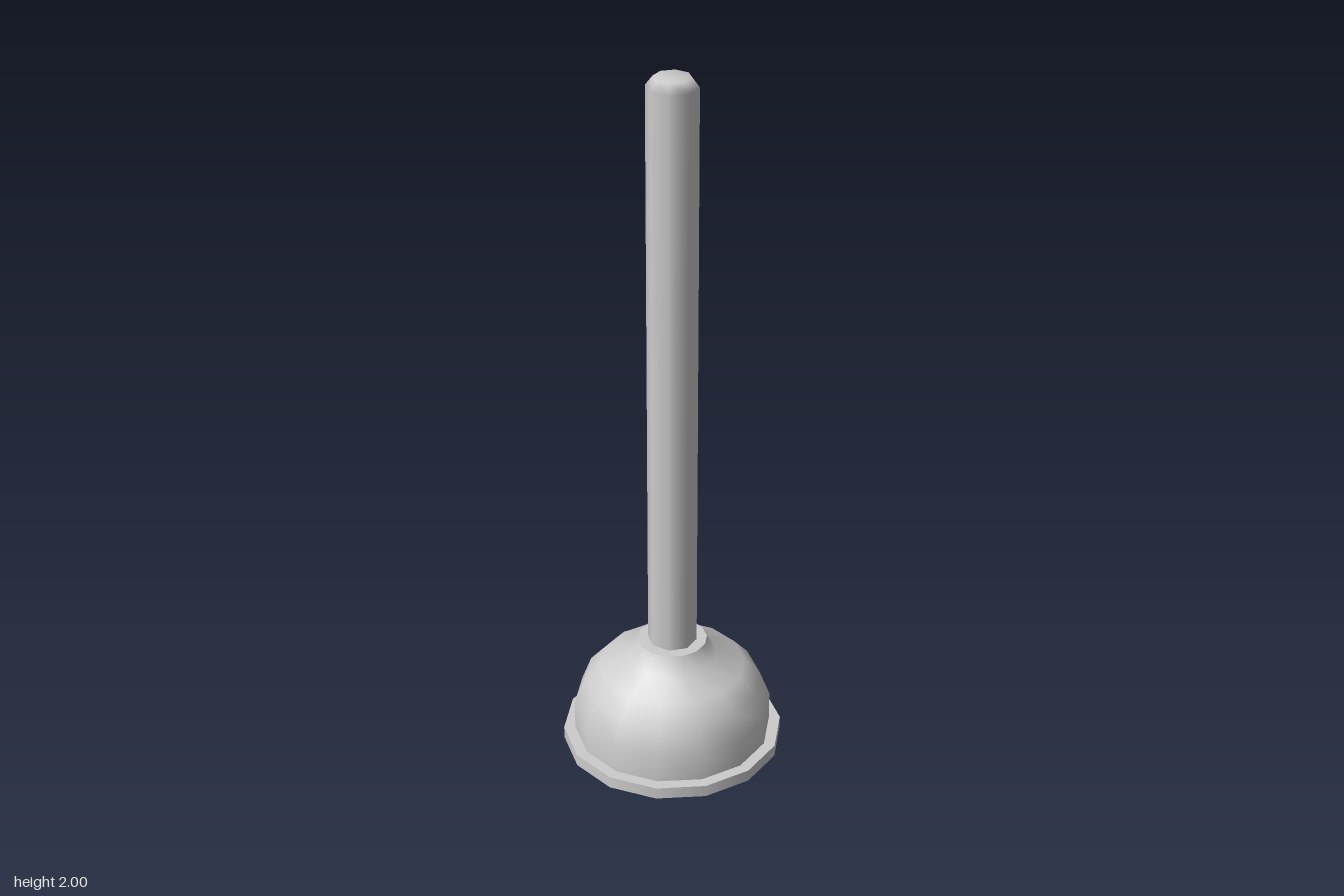
import * as THREE from 'three';

export function createModel() {
  const model = new THREE.Group();
  const grey = new THREE.MeshStandardMaterial({ color: 0xcccccc });
  grey.name = 'light grey';

  // Each profile is smooth in itself; separate profiles meet at sharp edges.
  function turned(name, sides, profiles) {
    const part = new THREE.Group();
    part.name = name;
    for (const [label, points] of Object.entries(profiles)) {
      const geometry = new THREE.LatheGeometry(points.map(([r, y]) => new THREE.Vector2(r, y)), sides);
      const mesh = new THREE.Mesh(geometry, grey);
      mesh.name = label;
      part.add(mesh);
    }
    model.add(part);
  }

  // Rubber cup, hollow from below
  turned('cup', 14, {
    cupCeiling: [[0, 0.11], [0.248, 0.11]],
    cupInnerWall: [[0.248, 0.11], [0.248, 0]],
    rimUnderside: [[0.248, 0], [0.311, 0]],
    rimSide: [[0.311, 0], [0.311, 0.035]],
    rimTop: [[0.311, 0.035], [0.279, 0.035]],
    dome: [[0.279, 0.035], [0.279, 0.12], [0.25, 0.195], [0.205, 0.245], [0.124, 0.28], [0.098, 0.33]],
    collarTop: [[0.098, 0.33], [0.05, 0.33]],
  });

  // Eight-sided handle with a rounded end
  turned('handle', 8, {
    shaft: [[0.069, 0.28], [0.069, 1.975], [0.05, 2], [0, 2]],
  });

  return model;
}
